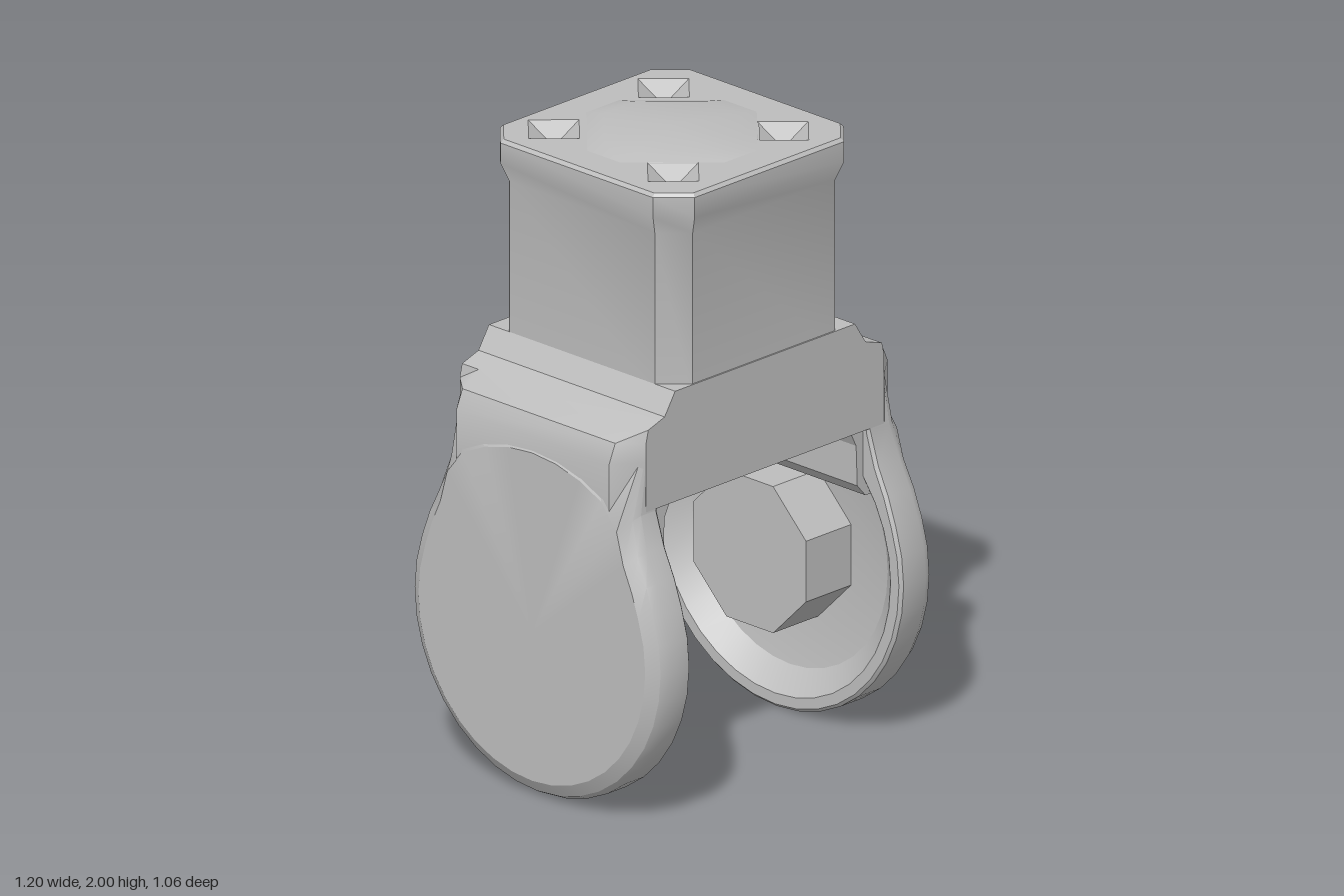
import * as THREE from 'three';
import { toCreasedNormals } from 'three/addons/utils/BufferGeometryUtils.js';

const grey = new THREE.MeshStandardMaterial({ color: 0xbdbdbd, side: THREE.DoubleSide });
grey.name = 'plain grey';

function part(name, geometry, parent) {
  const mesh = new THREE.Mesh(geometry, grey);
  mesh.name = name;
  parent.add(mesh);
  return mesh;
}

// Skins closed rings of points; each end can be closed with a fan around a centre
function loft(rings, startCentre, endCentre, crease = 0.5) {
  const pos = [];
  const tri = (...pts) => pts.forEach((p) => pos.push(...p));
  const n = rings[0].length;
  const last = rings[rings.length - 1];
  for (let i = 0; i < n; i++) {
    const j = (i + 1) % n;
    for (let k = 0; k + 1 < rings.length; k++) {
      const a = rings[k], b = rings[k + 1];
      tri(a[i], a[j], b[i]);
      tri(a[j], b[j], b[i]);
    }
    if (startCentre) tri(startCentre, rings[0][j], rings[0][i]);
    if (endCentre) tri(endCentre, last[i], last[j]);
  }
  const g = new THREE.BufferGeometry();
  g.setAttribute('position', new THREE.Float32BufferAttribute(pos, 3));
  g.computeVertexNormals();
  return toCreasedNormals(g, crease);
}

// Square with cut corners: half width h, corner start c, height y
const octagon = (h, c, y) =>
  [[c, h], [h, c], [h, -c], [c, -h], [-c, -h], [-h, -c], [-h, c], [-c, h]].map(([x, z]) => [x, y, z]);

// Cheek plate: disc blended into a straight arm, dished on the inner side
function cheekGeometry(inner) {
  const n = 36, cy = 0.53;
  const outline = (t) => {
    const c = Math.abs(Math.cos(t)), s = Math.sin(t);
    if (s < 0.37) return 0.53;
    // Sloping sides between the disc and the arm
    if (s < 0.74) return 0.537 / Math.cos(Math.asin(s) - 0.445);
    return Math.min(0.39 / Math.max(c, 1e-4), 0.67 / s);
  };
  const ring = (radius, x) => Array.from({ length: n }, (_, i) => {
    const t = (i / n) * Math.PI * 2, r = outline(t), q = radius(r);
    return [x(r), cy + q * Math.sin(t), q * Math.cos(t)];
  });
  return loft([
    ring((r) => Math.min(r - 0.055, 0.58), () => 0.6),
    ring((r) => r - 0.015, (r) => 0.575 - Math.max(0, r - 0.53) * 0.25),
    ring((r) => r, (r) => 0.545 - Math.max(0, r - 0.53) * 0.18),
    ring((r) => r, () => inner + 0.01),
    ring((r) => r - 0.01, () => inner),
    ring(() => 0.485, () => inner),
    ring(() => 0.41, () => 0.505),
    ring(() => 0.3, () => 0.525),
  ], [0.6, cy, 0], [0.53, cy, 0]);
}

// Flat-bottomed stub along x, pointing inward from the cheek
function stub(rOuter, rInner, xOuter, xInner, sides, y) {
  const g = new THREE.CylinderGeometry(rInner, rOuter, xOuter - xInner, sides);
  g.rotateY(Math.PI / sides).rotateZ(Math.PI / 2).translate((xOuter + xInner) / 2, y, 0);
  return toCreasedNormals(g, 0.3);
}

export function createModel() {
  const model = new THREE.Group();
  model.name = 'wheelFork';

  // Shoulder block, narrowed at its front and back faces
  const half = [[0.596, 1.0], [0.596, 1.16], [0.57, 1.22], [0.5, 1.262], [0.43, 1.285], [0.385, 1.355]];
  const profile = [...half, ...half.map(([x, y]) => [-x, y]).reverse()];
  const slice = (z, limit) =>
    profile.map(([x, y]) => [Math.sign(x) * Math.min(Math.abs(x), limit), y, z]);
  part('shoulder', loft(
    [slice(-0.39, 0.51), slice(-0.32, 0.6), slice(0.32, 0.6), slice(0.39, 0.51)],
    [0, 1.15, -0.39], [0, 1.15, 0.39]), model);

  // Neck with cut corners and a flared collar
  part('neck', loft([
    octagon(0.385, 0.305, 1.3), octagon(0.385, 0.305, 1.84), octagon(0.408, 0.32, 1.9),
    octagon(0.408, 0.32, 1.965), octagon(0.398, 0.315, 1.976),
  ], [0, 1.3, 0], null), model);

  // Top face with four bolt pits
  const top = new THREE.Shape(octagon(0.398, 0.315, 0).map(([x, , z]) => new THREE.Vector2(x, -z)));
  const pits = new THREE.Group();
  pits.name = 'boltPits';
  model.add(pits);
  for (const sx of [-1, 1]) {
    for (const sz of [-1, 1]) {
      const x = sx * 0.235, z = sz * 0.25 - 0.015, r = 0.108;
      const rim = [[0, r], [r, 0], [0, -r], [-r, 0]].map(([a, b]) => [x + a, 1.976, z + b]);
      top.holes.push(new THREE.Path(rim.map((p) => new THREE.Vector2(p[0], -p[2]))));
      part('boltPit', loft([rim], null, [x, 1.92, z], 0.3), pits);
    }
  }
  part('topFace', new THREE.ShapeGeometry(top).rotateX(-Math.PI / 2).translate(0, 1.976, 0), model);

  // Low domed pad between the pits
  part('topPad', loft([octagon(0.3, 0.07, 1.974), octagon(0.22, 0.07, 1.992)],
    [0, 1.974, 0], [0, 2, 0]), model);

  // Two legs, the right one turned half around
  const web = new THREE.Shape([[0.385, 1.01], [0.385, 1.0], [0.41, 0.95], [0.415, 0.82], [0.45, 0.78], [0.53, 0.78], [0.53, 1.01]]
    .map(([x, y]) => new THREE.Vector2(x, y)));
  for (const side of ['left', 'right']) {
    const isRight = side === 'right';
    const leg = new THREE.Group();
    leg.name = side + 'Leg';
    if (isRight) leg.rotation.y = Math.PI;
    model.add(leg);
    part('cheekPlate', cheekGeometry(isRight ? 0.458 : 0.44), leg);
    part('innerWeb', new THREE.ExtrudeGeometry(web, { depth: 0.74, bevelEnabled: false })
      .translate(0, 0, -0.37), leg);
    // Axle hub, with a short pin on the right leg only
    part('axleHub', stub(0.255, 0.255, 0.54, isRight ? 0.355 : 0.333, 8, 0.53), leg);
    if (isRight) part('axlePin', stub(0.18, 0.1, 0.356, 0.29, 6, 0.54), leg);
  }
  return model;
}
